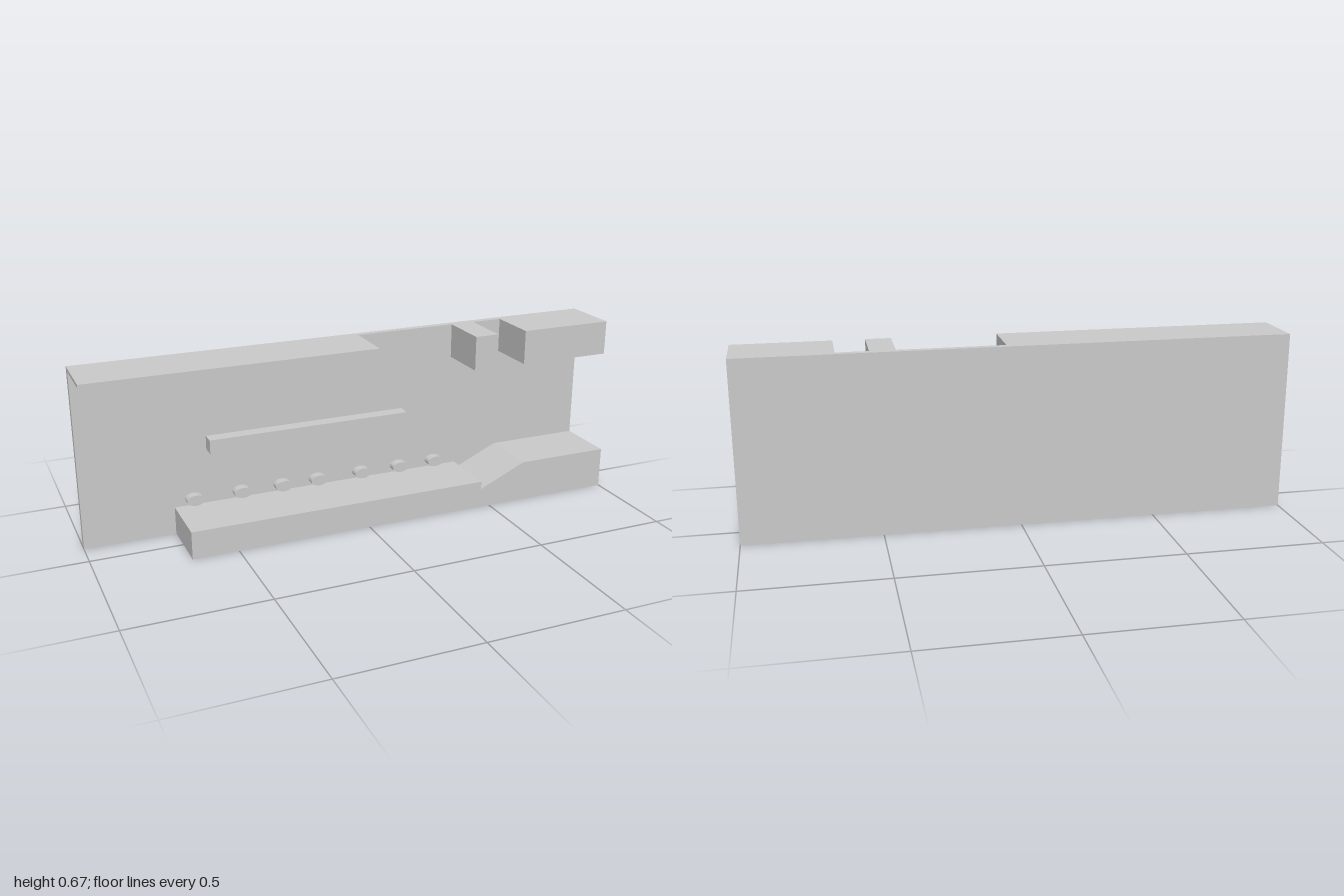
import * as THREE from 'three';

export function createModel() {
  const model = new THREE.Group();
  const grey = new THREE.MeshStandardMaterial({ color: 0xc8c8c8 });
  grey.name = 'lightGrey';

  const PLATE_FRONT = -0.1;
  const TOP = 0.667;

  // Extrudes a front outline from z0 to z1
  function addSolid(name, shape, z0, z1) {
    const geometry = new THREE.ExtrudeGeometry(shape, { depth: z1 - z0, bevelEnabled: false, curveSegments: 8 });
    geometry.translate(0, 0, z0);
    const mesh = new THREE.Mesh(geometry, grey);
    mesh.name = name;
    model.add(mesh);
  }
  const outline = (points) => new THREE.Shape(points.map(([x, y]) => new THREE.Vector2(x, y)));
  const rect = (x0, x1, y0, y1) => outline([[x0, y0], [x1, y0], [x1, y1], [x0, y1]]);

  // Upright back plate
  addSolid('backPlate', rect(-1, 1, 0, TOP), -0.125, PLATE_FRONT);

  // Upper ledge: tapering wedge, narrow tooth and end block
  const upperFront = 0.093;
  addSolid('upperWedge', outline([[-1, 0.655], [0.05, 0.54], [0.05, TOP], [-1, TOP]]), PLATE_FRONT, upperFront);
  addSolid('upperTooth', rect(0.435, 0.527, 0.539, TOP), PLATE_FRONT, upperFront);
  addSolid('upperEndBlock', rect(0.643, 1, 0.539, TOP), PLATE_FRONT, upperFront);

  // Lower shelf with a notch and a ramp up to the end
  addSolid('lowerShelf', outline([
    [-0.668, 0], [1, 0], [1, 0.154], [0.643, 0.154], [0.463, 0.073], [0.463, 0.103], [-0.668, 0.103],
  ]), PLATE_FRONT, 0.125);

  // Middle rail with a gently rising underside
  addSolid('middleRail', outline([
    [-0.541, 0.309], [0.227, 0.315], [0.227, 0.36], [-0.541, 0.36],
  ]), PLATE_FRONT, -0.048);

  // Row of oval studs above the shelf
  for (const x of [-0.596, -0.418, -0.26, -0.12, 0.058, 0.216, 0.366]) {
    const oval = new THREE.Shape();
    oval.absellipse(x, 0.13, 0.033, 0.02, 0, Math.PI * 2);
    addSolid('stud', oval, PLATE_FRONT, -0.068);
  }

  return model;
}
